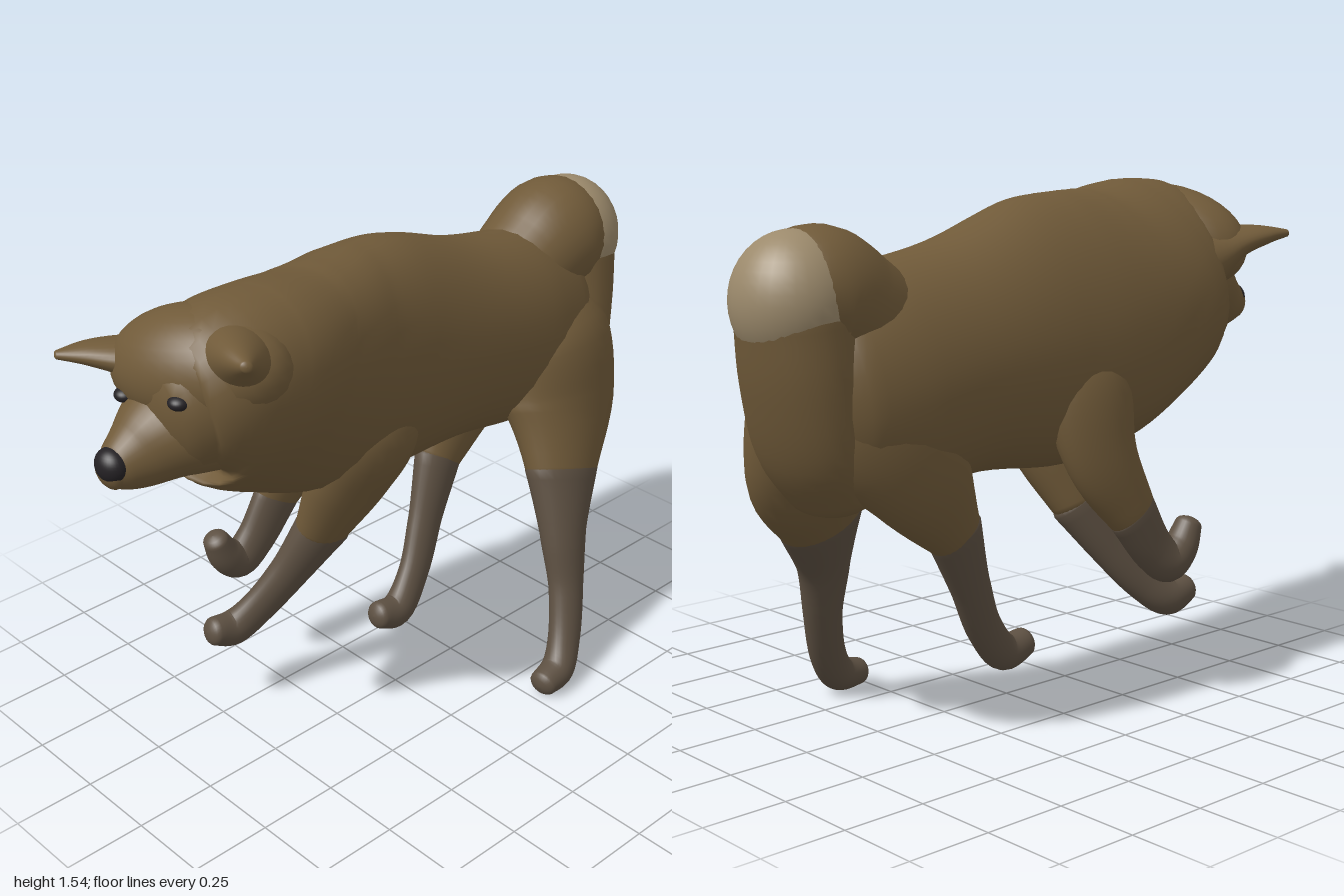
import * as THREE from 'three';

const FUR = 0x705a39, LEG = 0x5d5042, PALE = 0x9c8a6c, DARK = 0x242124;
const mat = (color) => new THREE.MeshStandardMaterial({ color, roughness: 0.9 });

// Smooth round-ended form through stations [x, y, z, half width, half depth, roll].
function sweep(name, stations, color, steps = 6, sides = 28) {
  const path = new THREE.CatmullRomCurve3(stations.map((s) => new THREE.Vector3(s[0], s[1], s[2])));
  const shape = new THREE.CatmullRomCurve3(stations.map((s) => new THREE.Vector3(s[3], s[4], s[5] ?? 0)));
  const n = (stations.length - 1) * steps, rings = [];
  const ring = (t, along, scale) => {
    const r = shape.getPoint(t), T = path.getTangent(t);
    const c = path.getPoint(t).addScaledVector(T, along * Math.min(r.x, r.y) * 0.6);
    const S = new THREE.Vector3(1, 0, 0).addScaledVector(T, -T.x).normalize();
    const U = new THREE.Vector3().crossVectors(T, S);
    S.applyAxisAngle(T, -r.z);
    U.applyAxisAngle(T, -r.z);
    rings.push({ c, S: S.multiplyScalar(r.x * scale), U: U.multiplyScalar(r.y * scale) });
  };
  const cap = [1, 2, 3, 4, 4.97].map((k) => (k / 5) * Math.PI / 2);
  for (const a of [...cap].reverse()) ring(0, -Math.sin(a), Math.cos(a));
  for (let i = 0; i <= n; i++) ring(i / n, 0, 1);
  for (const a of cap) ring(1, Math.sin(a), Math.cos(a));

  const pos = [], index = [];
  rings.forEach(({ c, S, U }, i) => {
    for (let j = 0; j < sides; j++) {
      const a = (j / sides) * Math.PI * 2;
      const p = c.clone().addScaledVector(S, Math.cos(a)).addScaledVector(U, Math.sin(a));
      pos.push(p.x, p.y, p.z);
      if (i === rings.length - 1) continue;
      const k = i * sides + j, l = i * sides + (j + 1) % sides;
      index.push(k, l, k + sides, l, l + sides, k + sides);
    }
  });
  const geo = new THREE.BufferGeometry();
  geo.setAttribute('position', new THREE.Float32BufferAttribute(pos, 3));
  geo.setIndex(index);
  geo.computeVertexNormals();
  const mesh = new THREE.Mesh(geo, mat(color));
  mesh.name = name;
  return mesh;
}

function ball(name, [x, y, z], [rx, ry, rz], color) {
  const mesh = new THREE.Mesh(new THREE.SphereGeometry(1, 32, 20), mat(color));
  mesh.name = name;
  mesh.position.set(x, y, z);
  mesh.scale.set(rx, ry, rz);
  return mesh;
}

// Furry upper limb and greyer lower limb meeting at one station.
function leg(name, stations, split) {
  const g = new THREE.Group();
  g.name = name;
  g.add(sweep('upperLeg', stations.slice(0, split + 1), FUR),
    sweep('lowerLegAndPaw', stations.slice(split), LEG));
  return g;
}

export function createModel() {
  const dog = new THREE.Group();
  dog.name = 'dog';

  // Torso and neck ruff in one sweep, rolling further towards the head
  dog.add(sweep('body', [
    [-0.1, 1.0, -0.83, 0.13, 0.19, 0.1],
    [-0.1, 1.01, -0.72, 0.21, 0.28, 0.1],
    [-0.1, 1.03, -0.55, 0.24, 0.32, 0.15],
    [-0.1, 1.07, -0.3, 0.245, 0.33, 0.2],
    [-0.1, 1.11, 0, 0.245, 0.39, 0.2],
    [-0.09, 1.14, 0.2, 0.25, 0.39, 0.25],
    [-0.06, 1.19, 0.4, 0.25, 0.36, 0.4],
    [-0.02, 1.25, 0.58, 0.245, 0.325, 0.6],
    [-0.01, 1.265, 0.67, 0.23, 0.29, 0.65],
    [-0.025, 1.25, 0.74, 0.18, 0.215, 0.65],
  ], FUR));

  // Broad skull, turned slightly to its left with the left side higher
  const skull = ball('skull', [0, 1.355, 0.69], [0.27, 0.165, 0.17], FUR);
  skull.rotation.set(0, 0.3, 0.18);
  dog.add(skull);

  // Head details
  dog.add(sweep('muzzle', [
    [-0.03, 1.22, 0.67, 0.2, 0.18], [-0.04, 1.185, 0.79, 0.15, 0.135],
    [-0.045, 1.15, 0.88, 0.095, 0.1], [-0.045, 1.135, 0.94, 0.065, 0.07],
    [-0.045, 1.13, 0.965, 0.05, 0.052],
  ], FUR));
  dog.add(ball('nose', [-0.04, 1.15, 0.96], [0.052, 0.048, 0.042], DARK));
  dog.add(ball('rightEye', [-0.125, 1.28, 0.845], [0.03, 0.02, 0.03], DARK));
  dog.add(ball('leftEye', [0.095, 1.335, 0.835], [0.03, 0.02, 0.03], DARK));
  dog.add(sweep('leftEar', [
    [0.06, 1.37, 0.63, 0.14, 0.13], [0.17, 1.435, 0.7, 0.095, 0.08],
    [0.24, 1.467, 0.745, 0.055, 0.045], [0.295, 1.485, 0.775, 0.018, 0.016],
  ], FUR));
  dog.add(sweep('rightEar', [
    [-0.12, 1.29, 0.66, 0.15, 0.13], [-0.19, 1.345, 0.78, 0.1, 0.055],
    [-0.245, 1.365, 0.87, 0.055, 0.03], [-0.28, 1.37, 0.94, 0.015, 0.012],
  ], FUR));

  // Tail rising from the rump and curling over, pale behind, haunch below it
  dog.add(sweep('tailBase', [
    [-0.1, 1.16, -0.54, 0.15, 0.15], [-0.1, 1.23, -0.66, 0.17, 0.17],
    [-0.1, 1.275, -0.76, 0.18, 0.185], [-0.1, 1.27, -0.84, 0.165, 0.165],
  ], FUR));
  dog.add(ball('tailTip', [-0.1, 1.265, -0.83], [0.17, 0.185, 0.17], PALE));
  dog.add(sweep('haunch', [
    [-0.1, 1.24, -0.83, 0.165, 0.155], [-0.09, 1.06, -0.805, 0.185, 0.15],
    [-0.07, 0.88, -0.76, 0.19, 0.135], [-0.05, 0.77, -0.69, 0.17, 0.12],
  ], FUR));

  // Legs
  dog.add(leg('leftHindLeg', [
    [-0.03, 1.14, -0.63, 0.1, 0.14], [0.03, 0.98, -0.65, 0.145, 0.22],
    [0.075, 0.8, -0.64, 0.13, 0.225], [0.165, 0.62, -0.565, 0.09, 0.145],
    [0.235, 0.45, -0.505, 0.065, 0.085], [0.285, 0.28, -0.475, 0.05, 0.062],
    [0.335, 0.13, -0.42, 0.047, 0.058], [0.365, 0.058, -0.36, 0.052, 0.054],
    [0.375, 0.045, -0.285, 0.046, 0.042],
  ], 3));
  dog.add(leg('rightHindLeg', [
    [-0.13, 1.12, -0.63, 0.1, 0.14], [-0.18, 0.95, -0.61, 0.13, 0.22],
    [-0.215, 0.78, -0.51, 0.1, 0.17], [-0.19, 0.6, -0.37, 0.062, 0.09],
    [-0.155, 0.42, -0.28, 0.045, 0.065], [-0.12, 0.27, -0.195, 0.042, 0.058],
    [-0.1, 0.177, -0.1, 0.049, 0.056], [-0.1, 0.19, -0.025, 0.044, 0.045],
  ], 3));
  dog.add(leg('leftFrontLeg', [
    [-0.01, 1.1, 0.1, 0.07, 0.11], [0.015, 0.95, 0.11, 0.115, 0.16],
    [-0.055, 0.77, 0.14, 0.1, 0.145], [-0.125, 0.6, 0.18, 0.07, 0.098],
    [-0.185, 0.45, 0.265, 0.052, 0.072], [-0.235, 0.335, 0.355, 0.045, 0.062],
    [-0.265, 0.28, 0.43, 0.049, 0.058], [-0.27, 0.295, 0.5, 0.044, 0.045],
  ], 3));
  dog.add(leg('rightFrontLeg', [
    [-0.22, 1.12, 0.04, 0.06, 0.11], [-0.28, 0.96, 0.05, 0.09, 0.16],
    [-0.33, 0.77, 0.07, 0.07, 0.125], [-0.36, 0.6, 0.165, 0.05, 0.085],
    [-0.365, 0.48, 0.25, 0.048, 0.07], [-0.37, 0.43, 0.315, 0.053, 0.062],
    [-0.37, 0.465, 0.365, 0.052, 0.055], [-0.37, 0.53, 0.4, 0.042, 0.04],
  ], 3));

  return dog;
}
